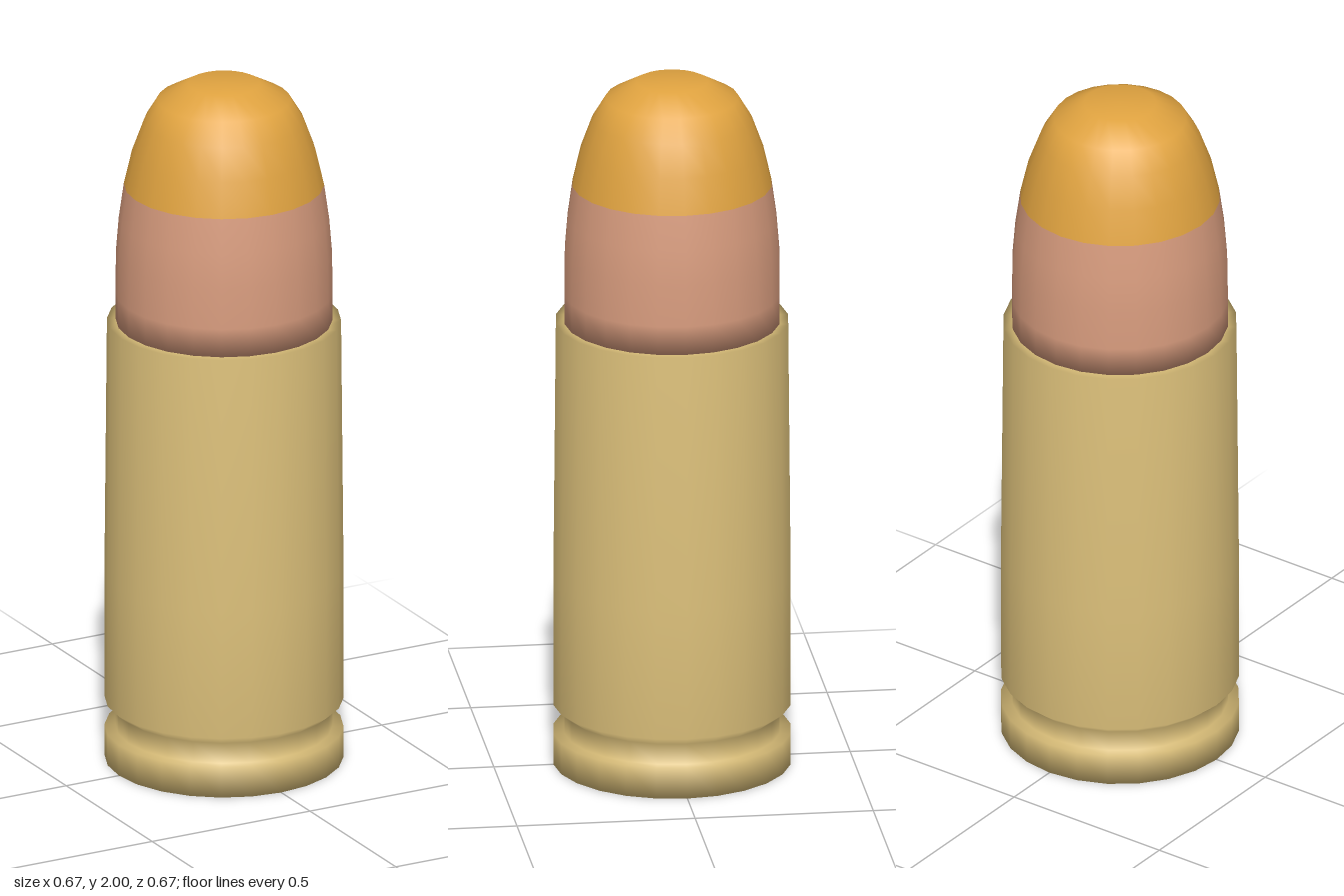
import * as THREE from 'three';

const SIDES = 24;

// Smooth solid of revolution from [radius, height] pairs, listed bottom to top
function turned(name, material, profile) {
  const points = profile.map(([r, y]) => new THREE.Vector2(r, y));
  const mesh = new THREE.Mesh(new THREE.LatheGeometry(points, SIDES), material);
  mesh.name = name;
  return mesh;
}

export function createModel() {
  const brass = new THREE.MeshStandardMaterial({ name: 'brass', color: 0xdcc07a });
  const copper = new THREE.MeshStandardMaterial({ name: 'copper', color: 0xd89c7e });
  const amber = new THREE.MeshStandardMaterial({ name: 'amber', color: 0xe0a340 });

  const model = new THREE.Group();
  model.name = 'cartridge';

  model.add(
    // Base rim, extractor groove, bevel, body and mouth
    turned('case', brass, [
      [0, 0], [0.333, 0], [0.333, 0.09], [0.302, 0.09], [0.302, 0.15],
      [0.333, 0.175], [0.333, 0.55], [0.326, 1.298], [0.29, 1.298],
    ]),
    // Lower part of the bullet, seated on the mouth
    turned('bulletJacket', copper, [
      [0, 1.298], [0.302, 1.298], [0.302, 1.38], [0.301, 1.5], [0.293, 1.6], [0.279, 1.7],
    ]),
    // Rounded nose with a small flat top
    turned('bulletTip', amber, [
      [0.279, 1.7], [0.256, 1.8], [0.223, 1.89], [0.185, 1.953], [0.1, 2], [0, 2],
    ]),
  );
  return model;
}
